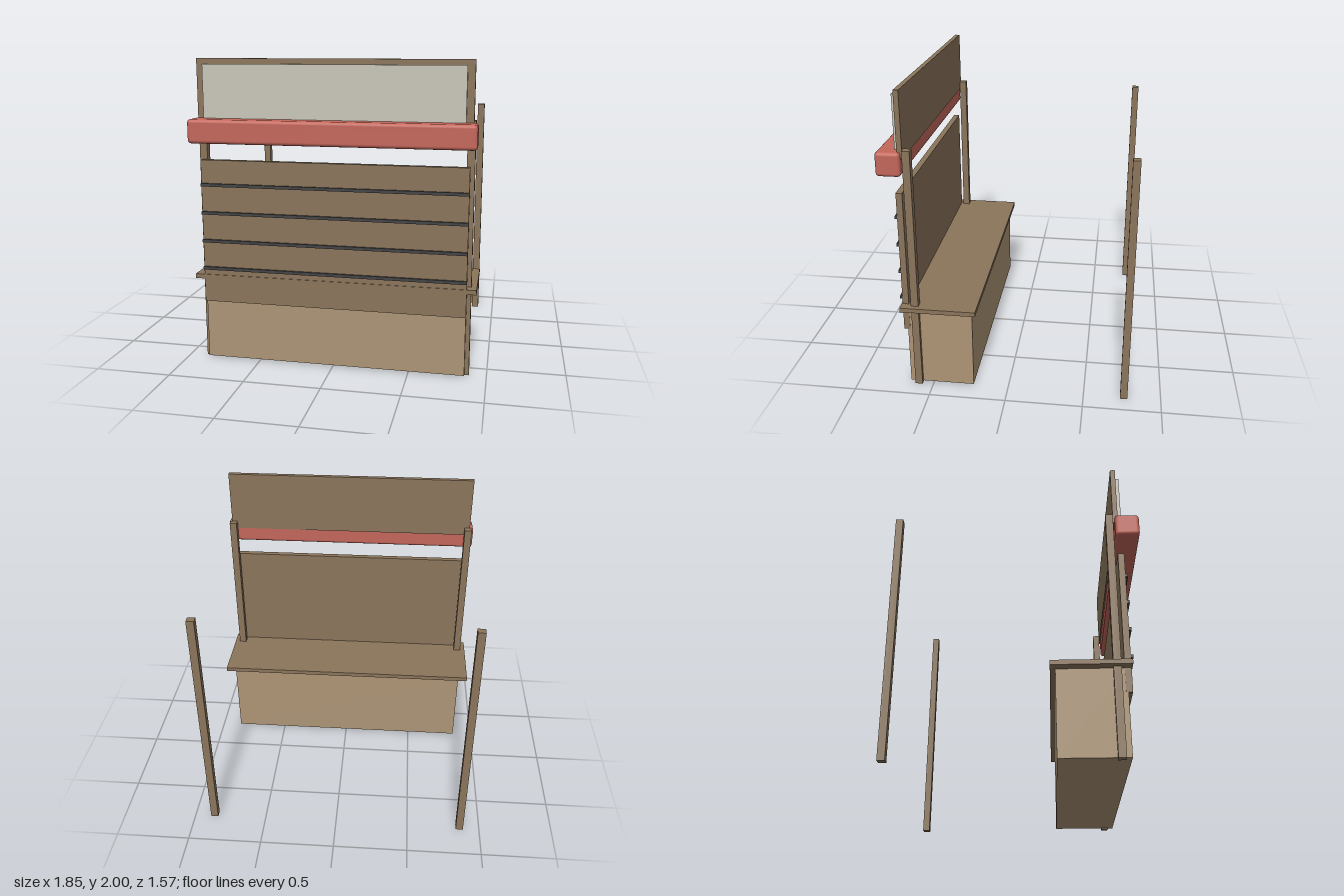
import * as THREE from 'three';
import { RoundedBoxGeometry } from 'three/addons/geometries/RoundedBoxGeometry.js';

const material = (name, color) => {
  const m = new THREE.MeshStandardMaterial({ color });
  m.name = name;
  return m;
};

export function createModel() {
  const darkWood = material('dark wood', 0x8b755b);
  const lightWood = material('light wood', 0xad9576);
  const red = material('awning red', 0xc4675b);
  const pale = material('sign grey', 0xc9c6ba);
  const charcoal = material('charcoal', 0x444444);

  const group = new THREE.Group();
  group.name = 'marketStall';

  const add = (name, geometry, mat, x, y, z) => {
    const mesh = new THREE.Mesh(geometry, mat);
    mesh.name = name;
    mesh.position.set(x, y, z);
    group.add(mesh);
  };
  // Box centred on x, from its width and its y and z extents
  const slab = (name, mat, width, y0, y1, z0, z1, x = 0) =>
    add(name, new THREE.BoxGeometry(width, y1 - y0, z1 - z0), mat, x, (y0 + y1) / 2, (z0 + z1) / 2);

  // Four uprights
  for (const [side, x] of [['left', 0.863], ['right', -0.863]]) {
    slab(side + 'FrontPost', darkWood, 0.05, 0, 1.635, 0.572, 0.62, x);
    slab(side + 'BackPost', darkWood, 0.05, 0, 1.635, -0.785, -0.738, x);
  }

  // Counter
  slab('counterBody', lightWood, 1.72, 0.008, 0.56, 0.23, 0.655);
  slab('counterTop', darkWood, 1.846, 0.56, 0.59, 0.198, 0.685);

  // Display panel with thin rails
  slab('displayPanel', darkWood, 1.724, 0.405, 1.355, 0.64, 0.68);
  for (const y of [0.635, 0.82, 1.007, 1.193]) {
    slab('displayRail', charcoal, 1.724, y - 0.01, y + 0.01, 0.68, 0.695);
  }

  // Sign board with its pale face
  slab('signBoard', darkWood, 1.754, 1.58, 2, 0.62, 0.652);
  slab('signFace', pale, 1.66, 1.615, 1.965, 0.652, 0.678);

  // Rounded awning roll
  add('awning', new RoundedBoxGeometry(1.81, 0.153, 0.155, 2, 0.022), red, 0, 1.548, 0.708);

  return group;
}
